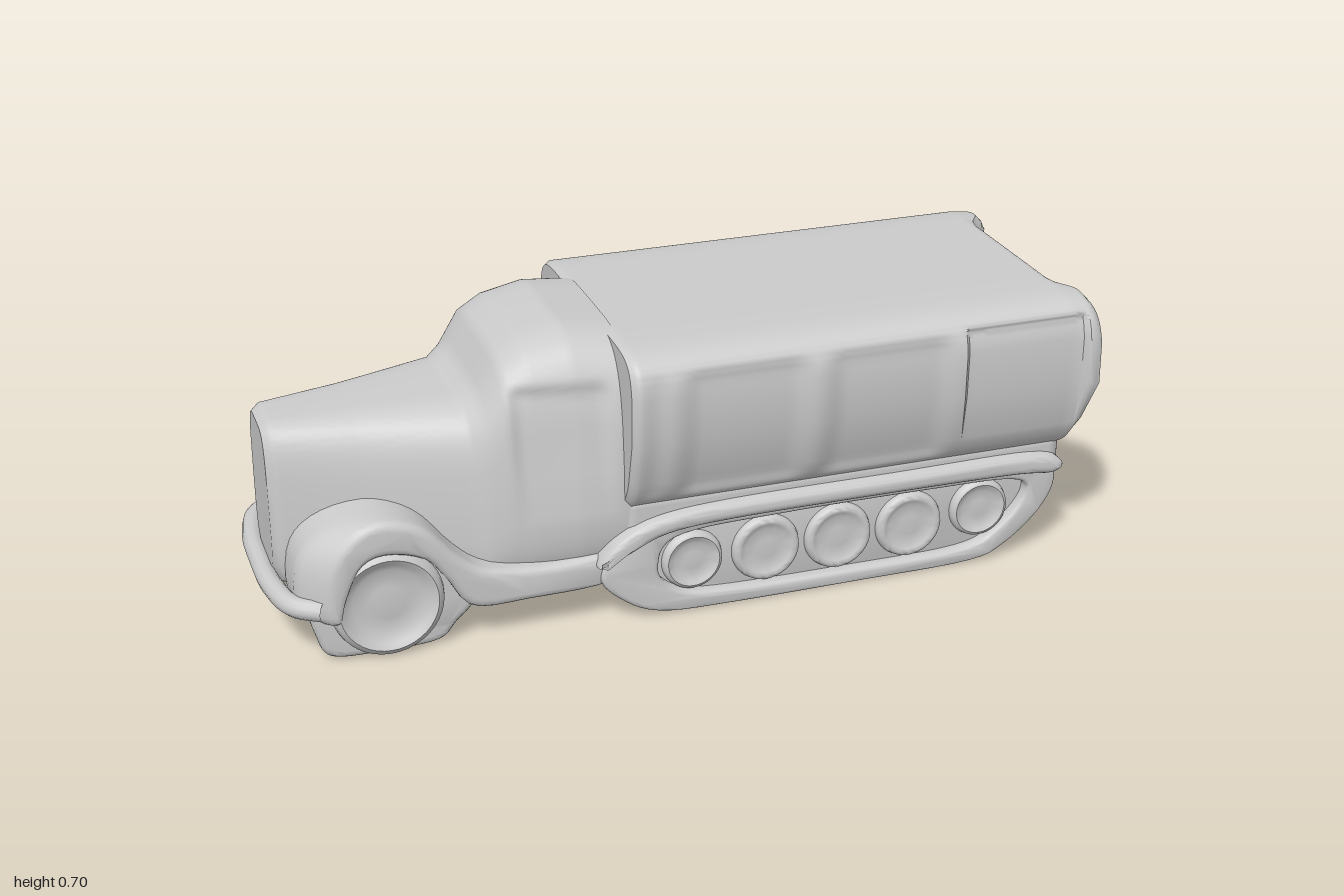
import * as THREE from 'three';
import { toCreasedNormals } from 'three/addons/utils/BufferGeometryUtils.js';
import { RoundedBoxGeometry } from 'three/addons/geometries/RoundedBoxGeometry.js';

const grey = new THREE.MeshStandardMaterial({ color: 0xcccccc });
const { smoothstep, lerp } = THREE.MathUtils;

function part(parent, name, geometry, x = 0, y = 0, z = 0) {
  const mesh = new THREE.Mesh(geometry, grey);
  mesh.name = name;
  mesh.position.set(x, y, z);
  parent.add(mesh);
  return mesh;
}

// 1 inside a soft-edged interval, 0 outside
const band = (v, a, b, soft) => smoothstep(v, a, a + soft) * (1 - smoothstep(v, b - soft, b));

// Skin of rounded sections along x, closed at both ends.
// section = [x, bottom, top, half width low, half width middle, half width high]
function loft(sections, power, rule, segments = 96) {
  const rows = [];
  const cap = [0, 0.2, 0.4, 0.55, 0.65, 0.75, 0.85, 0.95];
  cap.forEach(s => rows.push([sections[0], s]));
  for (let i = 0; i < sections.length; i++) {
    rows.push([sections[i], 1]);
    if (i === sections.length - 1) break;
    const a = sections[i], b = sections[i + 1];
    const n = Math.ceil((b[0] - a[0]) / 0.012);
    for (let k = 1; k < n; k++) rows.push([a.map((v, j) => lerp(v, b[j], k / n)), 1]);
  }
  cap.slice().reverse().forEach(s => rows.push([sections[sections.length - 1], s]));

  const points = [], index = [], p = new THREE.Vector3();
  const bend = v => Math.sign(v) * Math.abs(v) ** (2 / power);
  rows.forEach(([[x, y0, y1, low, mid, high], s], i) => {
    for (let j = 0; j < segments; j++) {
      const angle = j / segments * Math.PI * 2;
      const v = bend(Math.sin(angle)) * s;
      const w = mid + (high - low) / 2 * v + ((high + low) / 2 - mid) * v * v;
      p.set(x, (y0 + y1) / 2 + (y1 - y0) / 2 * v, bend(Math.cos(angle)) * s * w);
      rule(p);
      points.push(p.x, p.y, p.z);
      if (i === rows.length - 1) continue;
      const a = i * segments + j, b = i * segments + (j + 1) % segments;
      index.push(a, a + segments, b, b, a + segments, b + segments);
    }
  });
  const g = new THREE.BufferGeometry();
  g.setAttribute('position', new THREE.Float32BufferAttribute(points, 3));
  g.setIndex(index);
  return toCreasedNormals(g, 0.8);
}

// Softly bevelled side profile, centred on z = 0; rule may move its vertices
function slab(shape, width, bevel, rule) {
  const g = new THREE.ExtrudeGeometry(shape, {
    depth: width - 2 * bevel, bevelEnabled: true, bevelSize: bevel, bevelOffset: -bevel,
    bevelThickness: bevel, bevelSegments: 4, curveSegments: 16, steps: 8
  });
  g.translate(0, 0, bevel - width / 2);
  if (rule) {
    const a = g.attributes.position, p = new THREE.Vector3();
    for (let i = 0; i < a.count; i++) {
      rule(p.fromBufferAttribute(a, i));
      a.setXYZ(i, p.x, p.y, p.z);
    }
  }
  return toCreasedNormals(g, 0.7);
}

const closedShape = pts => new THREE.Shape(
  new THREE.CatmullRomCurve3(pts.map(([x, y]) => new THREE.Vector3(x, y, 0)), true, 'catmullrom', 0.5)
    .getPoints(72).slice(0, -1).map(v => new THREE.Vector2(v.x, v.y)));

// Wheel with a shallow dish facing +z, or -z when side is -1
function wheel(radius, width, side) {
  const profile = [[0, -0.5], [0.9, -0.5], [1, -0.35], [1, 0.25], [0.95, 0.44], [0.85, 0.5], [0.75, 0.45],
    [0.6, 0.36], [0.3, 0.38], [0, 0.4]].map(([r, h]) => new THREE.Vector2(r * radius, h * width));
  return toCreasedNormals(new THREE.LatheGeometry(profile, 40).rotateX(side * Math.PI / 2), 0.9);
}

// Block along x whose underside is an arch
function archBlock(halfWidth, foot, archWidth, peak, top, length) {
  const s = new THREE.Shape();
  s.moveTo(-halfWidth, foot);
  s.absellipse(0, foot, archWidth, peak - foot, Math.PI, 0, true);
  s.lineTo(halfWidth, foot);
  s.lineTo(halfWidth, top);
  s.lineTo(-halfWidth, top);
  const g = new THREE.ExtrudeGeometry(s, { depth: length, bevelEnabled: false, curveSegments: 24 });
  return toCreasedNormals(g.rotateY(Math.PI / 2), 0.6);
}

export function createModel() {
  const truck = new THREE.Group();
  truck.name = 'halfTrackTruck';

  // Bonnet and cab, with shallow side windows
  part(truck, 'cabAndBonnet', loft([
    [-0.96, 0.16, 0.505, 0.10, 0.10, 0.09],
    [-0.94, 0.12, 0.52, 0.12, 0.12, 0.105],
    [-0.75, 0.08, 0.53, 0.17, 0.17, 0.145],
    [-0.52, 0.08, 0.545, 0.24, 0.24, 0.21],
    [-0.485, 0.085, 0.57, 0.26, 0.255, 0.23],
    [-0.435, 0.09, 0.65, 0.27, 0.27, 0.24],
    [-0.38, 0.09, 0.685, 0.28, 0.28, 0.24],
    [-0.28, 0.09, 0.705, 0.29, 0.295, 0.245],
    [-0.16, 0.09, 0.69, 0.29, 0.305, 0.26]
  ], 5, p => {
    if (Math.abs(p.z) > 0.15) {
      p.z -= Math.sign(p.z) * 0.014 * band(p.x, -0.44, -0.19, 0.04) * band(p.y, 0.36, 0.61, 0.035);
    }
  }));

  // Canvas cover: panels sink between the hoops, the rear sits between side curtains,
  // and a rectangular flap is let into the last panel on the left
  const hoops = [-0.16, -0.08, 0.27, 0.63, 0.97];
  part(truck, 'canvasCover', loft([
    [-0.18, 0.28, 0.68, 0.29, 0.36, 0.34],
    [-0.165, 0.27, 0.685, 0.30, 0.372, 0.355],
    [0.92, 0.27, 0.685, 0.30, 0.377, 0.355],
    [0.965, 0.275, 0.68, 0.30, 0.385, 0.35],
    [0.985, 0.29, 0.66, 0.29, 0.38, 0.34],
    [0.995, 0.31, 0.64, 0.28, 0.36, 0.32]
  ], 9, p => {
    if (p.x > 0.9) {
      const end = smoothstep(p.x, 0.9, 1);
      p.x -= end * (0.055 * (1 - smoothstep(Math.abs(p.z), 0.2, 0.28)) + 0.04 * (1 - smoothstep(p.y, 0.28, 0.5)));
    }
    if (Math.abs(p.z) > 0.25) {
      let sink = 0;
      for (let i = 0; i < 4; i++) {
        sink += (i === 3 && p.z > 0)
          ? band(p.x, 0.635, 0.955, 0.012) * band(p.y, 0.375, 0.655, 0.02)
          : band(p.x, hoops[i], hoops[i + 1], 0.07) * band(p.y, 0.3, 0.655, 0.05);
      }
      p.z -= Math.sign(p.z) * 0.015 * sink;
    }
  }));

  // Load bed, chassis and underside
  part(truck, 'loadBed', new RoundedBoxGeometry(1.13, 0.12, 0.62, 4, 0.04), 0.375, 0.27, 0);
  part(truck, 'chassis', new RoundedBoxGeometry(1.1, 0.16, 0.36, 4, 0.03), 0.36, 0.235, 0);
  part(truck, 'tailPanel', new RoundedBoxGeometry(0.06, 0.17, 0.17, 3, 0.015), 0.925, 0.245, -0.015);
  part(truck, 'belly', archBlock(0.16, 0.035, 0.135, 0.16, 0.25, 0.8), -0.05, 0, 0);
  part(truck, 'frontAxle', archBlock(0.16, 0.02, 0.125, 0.08, 0.2, 0.22), -0.85, 0, 0);

  // Bumper wrapping round to the fenders
  const bumperPath = new THREE.CatmullRomCurve3([[-0.88, 0.285], [-0.94, 0.24], [-0.97, 0.13], [-0.975, 0],
    [-0.97, -0.13], [-0.94, -0.24], [-0.88, -0.285]].map(([x, z]) => new THREE.Vector3(x, 0.145, z)));
  part(truck, 'bumper', new THREE.TubeGeometry(bumperPath, 48, 0.025, 12));

  // Side profiles
  const fender = closedShape([[-0.935, 0.13], [-0.925, 0.25], [-0.86, 0.32], [-0.75, 0.35], [-0.65, 0.32],
    [-0.57, 0.235], [-0.5, 0.19], [-0.36, 0.175], [-0.2, 0.18], [-0.18, 0.13], [-0.24, 0.1], [-0.4, 0.095],
    [-0.54, 0.1], [-0.6, 0.18], [-0.65, 0.24], [-0.74, 0.265], [-0.83, 0.24], [-0.88, 0.17], [-0.9, 0.11]]);
  const wheelBlock = closedShape([[-0.91, 0.15], [-0.9, 0.07], [-0.865, 0.012], [-0.74, 0.004], [-0.62, 0.01],
    [-0.575, 0.05], [-0.53, 0.11], [-0.58, 0.22], [-0.74, 0.3], [-0.87, 0.25]]);
  const trackPoints = [[-0.24, 0.13], [-0.19, 0.06], [-0.09, 0.012], [0.1, 0.003], [0.4, 0.003], [0.7, 0.006],
    [0.8, 0.04], [0.89, 0.12], [0.925, 0.2], [0.89, 0.26], [0.75, 0.275], [0.4, 0.275], [0, 0.265], [-0.17, 0.22]];
  const track = closedShape(trackPoints);
  const rim = closedShape(trackPoints);
  rim.holes.push(closedShape([[-0.1, 0.13], [-0.06, 0.07], [0.05, 0.045], [0.4, 0.04], [0.68, 0.045], [0.78, 0.09],
    [0.845, 0.17], [0.81, 0.212], [0.6, 0.22], [0.2, 0.22], [-0.05, 0.205]]));
  const guard = closedShape([[-0.25, 0.16], [-0.2, 0.225], [-0.1, 0.268], [0.1, 0.283], [0.5, 0.283], [0.84, 0.283],
    [0.93, 0.255], [0.91, 0.225], [0.8, 0.233], [0.5, 0.237], [0.1, 0.237], [-0.08, 0.225], [-0.18, 0.185]]);

  // Left and right running gear
  for (const side of [1, -1]) {
    const gear = new THREE.Group();
    gear.name = side > 0 ? 'leftRunningGear' : 'rightRunningGear';
    truck.add(gear);
    // The outer front corner of the fender is swept back
    part(gear, 'fenderAndStep', slab(fender, 0.205, 0.02, p => {
      p.x += 0.06 * smoothstep(p.z * side, 0.02, 0.11) * (1 - smoothstep(p.x, -0.92, -0.72));
    }), 0, 0, 0.2025 * side);
    part(gear, 'wheelHousing', slab(wheelBlock, 0.15, 0.02), 0, 0, 0.2 * side);
    part(gear, 'frontWheel', wheel(0.135, 0.16, side), -0.735, 0.138, 0.218 * side);
    part(gear, 'trackCore', slab(track, 0.16, 0.012), 0, 0, 0.205 * side);
    part(gear, 'trackBelt', slab(rim, 0.125, 0.012), 0, 0, 0.2525 * side);
    part(gear, 'trackGuard', slab(guard, 0.2, 0.018), 0, 0, 0.238 * side);
    for (let i = 0; i < 5; i++) {
      part(gear, 'roadWheel', wheel(i === 0 || i === 4 ? 0.075 : 0.085, 0.07, side),
        -0.01 + i * 0.185, i === 4 ? 0.143 : 0.128, 0.27 * side);
    }
  }
  return truck;
}
